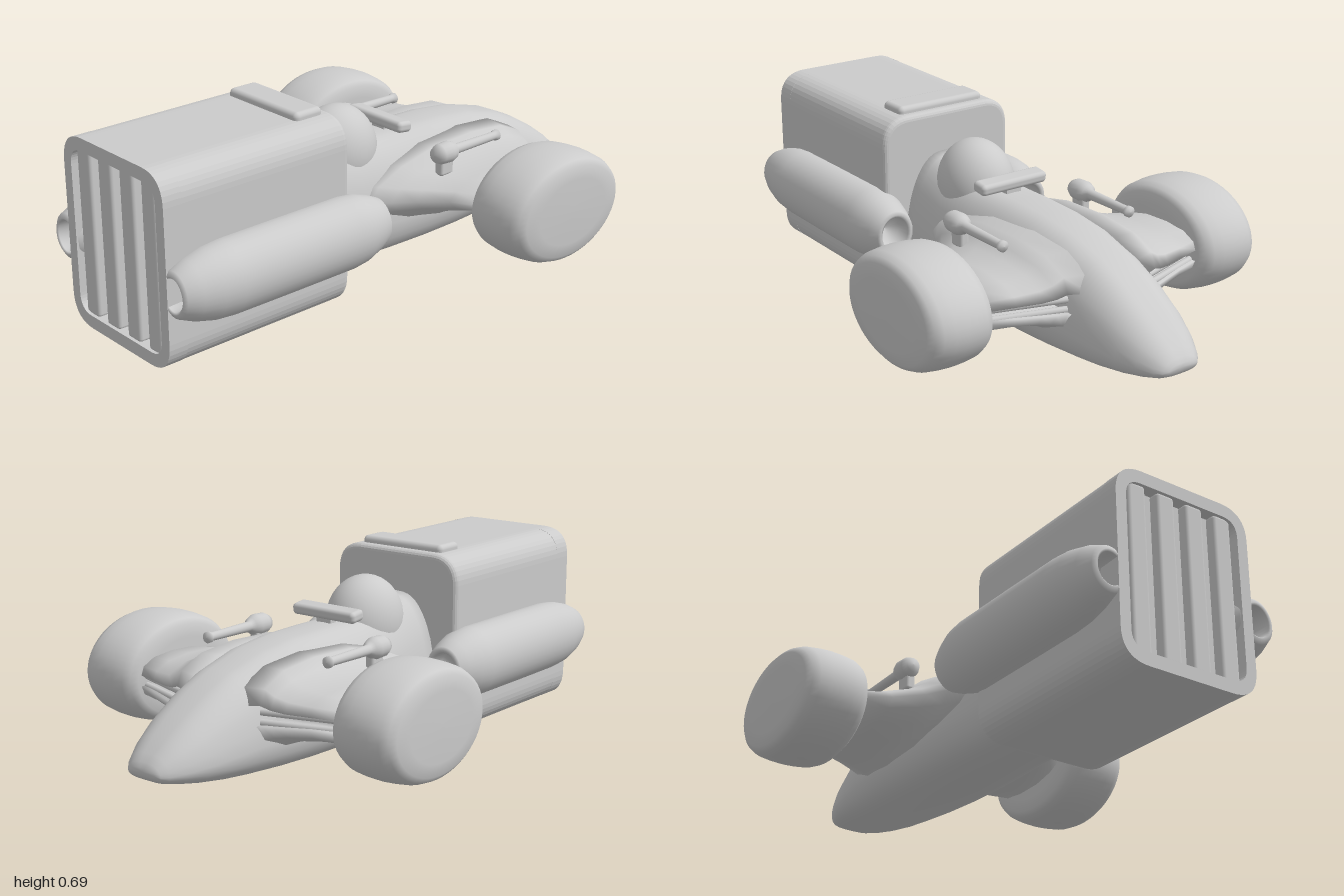
import * as THREE from 'three';
import { RoundedBoxGeometry } from 'three/addons/geometries/RoundedBoxGeometry.js';

const material = new THREE.MeshStandardMaterial({ color: 0xcccccc });

// Skin a list of closed rings (counter-clockwise about the loft direction), capped at both ends
function loft(rings) {
  const n = rings[0].length, pos = [], idx = [];
  rings.forEach((r) => r.forEach((p) => pos.push(...p)));
  for (let i = 0; i < rings.length - 1; i++) {
    for (let j = 0; j < n; j++) {
      const k = (j + 1) % n, a = i * n + j, b = i * n + k;
      idx.push(a, b, b + n, a, b + n, a + n);
    }
  }
  [0, rings.length - 1].forEach((i) => {
    const c = pos.length / 3;
    pos.push(...[0, 1, 2].map((d) => rings[i].reduce((s, p) => s + p[d], 0) / n));
    for (let j = 0; j < n; j++) {
      const a = i * n + j, b = i * n + ((j + 1) % n);
      if (i === 0) idx.push(c, b, a); else idx.push(c, a, b);
    }
  });
  const g = new THREE.BufferGeometry();
  g.setAttribute('position', new THREE.Float32BufferAttribute(pos, 3));
  g.setIndex(idx);
  g.computeVertexNormals();
  return g;
}

function roundedRect(target, w, h, r) {
  target.moveTo(-w + r, -h);
  target.lineTo(w - r, -h); target.quadraticCurveTo(w, -h, w, -h + r);
  target.lineTo(w, h - r); target.quadraticCurveTo(w, h, w - r, h);
  target.lineTo(-w + r, h); target.quadraticCurveTo(-w, h, -w, h - r);
  target.lineTo(-w, -h + r); target.quadraticCurveTo(-w, -h, -w + r, -h);
  return target;
}

const lathe = (pts, seg) => new THREE.LatheGeometry(pts.map((p) => new THREE.Vector2(...p)), seg);
const power = (v, e) => Math.sign(v) * Math.abs(v) ** e;

export function createModel() {
  const model = new THREE.Group();
  const add = (name, geometry, x = 0, y = 0, z = 0) => {
    const m = new THREE.Mesh(geometry, material);
    m.name = name;
    m.position.set(x, y, z);
    model.add(m);
    return m;
  };

  // Body: stations of x, bottom, top, half width
  const stations = [
    [-0.3, 0.06, 0.52, 0.18], [-0.22, 0.06, 0.52, 0.185], [-0.1, 0.06, 0.49, 0.185],
    [0.05, 0.06, 0.475, 0.195], [0.2, 0.06, 0.475, 0.2], [0.35, 0.063, 0.472, 0.2],
    [0.5, 0.07, 0.455, 0.195], [0.65, 0.08, 0.415, 0.18], [0.75, 0.09, 0.37, 0.168],
    [0.85, 0.105, 0.31, 0.148], [0.92, 0.118, 0.26, 0.122], [0.97, 0.13, 0.218, 0.092],
    [0.99, 0.14, 0.195, 0.072], [1.0, 0.155, 0.18, 0.055],
  ];
  add('body', loft(stations.map(([x, bot, top, w]) => Array.from({ length: 40 }, (_, i) => {
    const a = (i / 40) * Math.PI * 2;
    const v = power(Math.cos(a), 0.6), u = power(Math.sin(a), 0.6);
    const taper = 1 - 0.36 * Math.max(0, v + 0.25) ** 1.4 / 1.37;
    return [x, (bot + top) / 2 + v * (top - bot) / 2, u * w * taper];
  }))));

  // Driver dome and the bar ahead of it
  add('cockpitDome', new THREE.SphereGeometry(1, 32, 20).scale(0.15, 0.165, 0.132), -0.09, 0.44, 0);
  add('cockpitBar', new RoundedBoxGeometry(0.065, 0.04, 0.27, 3, 0.015), 0.112, 0.508, 0).rotation.z = -0.12;
  add('cockpitBarStem', new THREE.BoxGeometry(0.03, 0.08, 0.06), 0.12, 0.465, 0);

  // Rear housing: beveled shell with a framed grille at the back
  const shell = new THREE.ExtrudeGeometry(roundedRect(new THREE.Shape(), 0.245, 0.31, 0.085), {
    depth: 0.65, bevelSize: 0.02, bevelThickness: 0.02, bevelSegments: 4, curveSegments: 10,
  }).rotateY(Math.PI / 2);
  add('rearHousing', shell, -0.935, 0.34, 0);
  const rim = roundedRect(new THREE.Shape(), 0.265, 0.33, 0.105);
  rim.holes.push(roundedRect(new THREE.Path(), 0.225, 0.285, 0.06));
  const rimGeo = new THREE.ExtrudeGeometry(rim, { depth: 0.07, bevelEnabled: false, curveSegments: 10 });
  add('grilleFrame', rimGeo.rotateY(Math.PI / 2), -1, 0.34, 0);
  for (let i = 0; i < 4; i++) {
    add('grilleSlat', new RoundedBoxGeometry(0.05, 0.58, 0.07, 2, 0.012), -0.965, 0.34, (i - 1.5) * 0.115);
  }

  // Raised plate on the housing roof
  add('roofPlate', new RoundedBoxGeometry(0.115, 0.07, 0.35, 3, 0.018), -0.355, 0.66, 0);

  const wheelProfile = [[0, -0.127], [0.6, -0.126], [0.82, -0.12], [0.91, -0.105], [0.965, -0.08],
    [0.99, -0.04], [1, 0], [0.99, 0.04], [0.965, 0.08], [0.91, 0.105], [0.82, 0.12], [0.6, 0.126], [0, 0.127]];
  const podProfile = [[0, -0.33], [0.052, -0.34], [0.055, -0.415], [0.062, -0.42], [0.078, -0.41],
    [0.1, -0.36], [0.118, -0.29], [0.124, -0.22], [0.125, 0], [0.125, 0.26], [0.118, 0.32],
    [0.1, 0.375], [0.082, 0.415], [0.07, 0.42], [0.06, 0.415], [0.054, 0.36], [0, 0.34]];
  const gunProfile = [[0, -0.05], [0.026, -0.046], [0.036, -0.025], [0.038, 0.015], [0.03, 0.038],
    [0.018, 0.05], [0.015, 0.24], [0.019, 0.245], [0.019, 0.258], [0, 0.262]];

  // Strut fairing: stations of z, rear x, front x, bottom, top, with a slot in the leading edge
  const fairing = [[0.1, -0.16, 0.68, 0.13, 0.44], [0.18, -0.1, 0.66, 0.16, 0.435],
    [0.215, -0.03, 0.65, 0.18, 0.405], [0.26, 0.04, 0.635, 0.195, 0.385],
    [0.34, 0.125, 0.61, 0.208, 0.374], [0.44, 0.19, 0.58, 0.21, 0.37]];
  const section = [[1, 0.62], [0.97, 0.8], [0.85, 0.95], [0.65, 1], [0.4, 0.97], [0.2, 0.85], [0.06, 0.68],
    [0, 0.5], [0.06, 0.32], [0.2, 0.15], [0.4, 0.03], [0.65, 0], [0.85, 0.05], [0.97, 0.2], [1, 0.38],
    [0.89, 0.4], [0.86, 0.5], [0.89, 0.6]];

  for (const side of [1, -1]) {
    const s = side > 0 ? 'left' : 'right';
    const z0 = side > 0 ? -1 : 1;
    // The model faces along x here, so each pair sits on either side in z
    const wheel = lathe(wheelProfile, 48).rotateX(Math.PI / 2).scale(0.272, 0.192, 1);
    add(`${s}Wheel`, wheel, 0.375, 0.29, z0 * 0.547);

    const rings = fairing.map(([z, x0, x1, bot, top]) => section.map(([u, v]) =>
      [x0 + (x1 - x0) * u, bot + (top - bot) * v, z * z0]));
    add(`${s}StrutFairing`, loft(z0 > 0 ? rings : rings.reverse()));
    for (const y of [0.27, 0.305]) {
      const rod = new THREE.CylinderGeometry(0.012, 0.012, 0.3, 10).rotateX(Math.PI / 2);
      add(`${s}StrutRod`, rod, 0.595, y, z0 * 0.31).rotation.y = -z0 * 0.3;
    }

    // Hollow-ended side pod
    add(`${s}SidePod`, lathe(podProfile, 32).rotateZ(-Math.PI / 2).scale(1, 1, 0.88),
      -0.58, 0.293, z0 * 0.29);

    // Barrel unit on its pedestal
    add(`${s}Barrel`, lathe(gunProfile, 20).rotateZ(-Math.PI / 2), 0.175, 0.437, z0 * 0.262);
    add(`${s}BarrelMount`, new RoundedBoxGeometry(0.06, 0.08, 0.035, 2, 0.01), 0.18, 0.395, z0 * 0.255);
  }
  return model;
}
